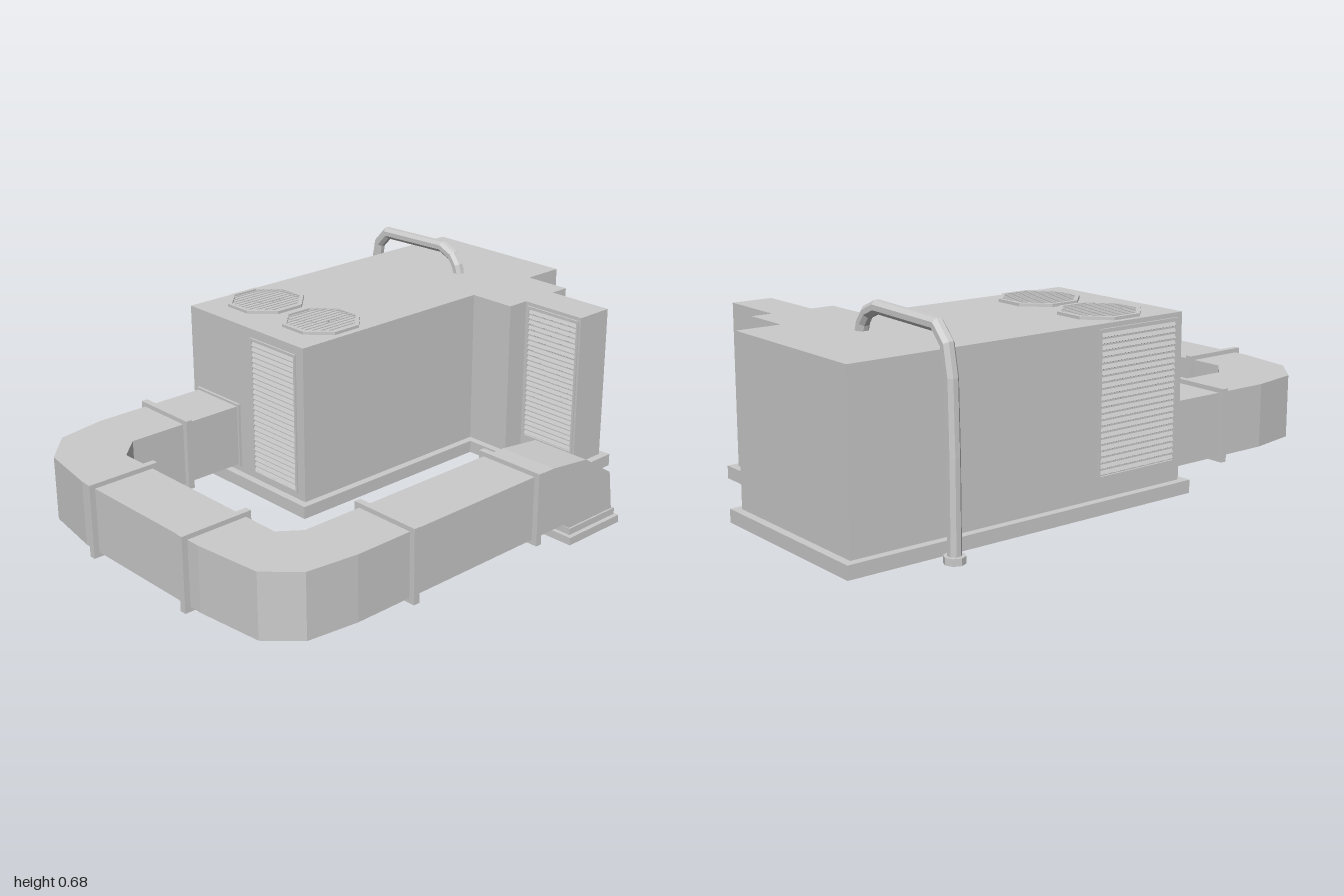
import * as THREE from 'three';

const grey = new THREE.MeshStandardMaterial({ color: 0xcccccc, flatShading: true, side: THREE.DoubleSide });

function add(parent, name, geometry, x = 0, y = 0, z = 0) {
  const mesh = new THREE.Mesh(geometry, grey);
  mesh.name = name;
  mesh.position.set(x, y, z);
  parent.add(mesh);
  return mesh;
}

const box = (w, h, d) => new THREE.BoxGeometry(w, h, d);

// Floor plan given as [x, z], raised from y0 to y1
function raisePlan(points, y0, y1) {
  const shape = new THREE.Shape(points.map(([x, z]) => new THREE.Vector2(x, -z)));
  return new THREE.ExtrudeGeometry(shape, { depth: y1 - y0, bevelEnabled: false })
    .rotateX(-Math.PI / 2).translate(0, y0, 0);
}

// Side profile given as [z, y], stretched from x0 to x1
function extrudeSide(points, x0, x1) {
  const shape = new THREE.Shape(points.map(([z, y]) => new THREE.Vector2(-z, y)));
  return new THREE.ExtrudeGeometry(shape, { depth: x1 - x0, bevelEnabled: false })
    .rotateY(Math.PI / 2).translate(x0, 0, 0);
}

// Stepped outline shared by the plinth and the housing; g is the overhang
function steppedPlan(g) {
  return [
    [-0.61 - g, -0.97 - g], [-0.03 + g, -0.97 - g], [-0.03 + g, -0.82 - g], [0.14 + g, -0.82 - g],
    [0.14 + g, -0.75 - g], [0.383 + g, -0.75 - g], [0.383 + g, -0.61 + g], [0.14 + g, -0.61 + g],
    [0.14 + g, -0.53 + g], [-0.03 + g, -0.53 + g], [-0.03 + g, 0.257 + g], [-0.61 - g, 0.257 + g],
  ];
}

// Framed louvre facing +z, centred on its own origin
function louvre(name, w, h) {
  const group = new THREE.Group();
  group.name = name;
  const t = 0.008, d = 0.008;
  for (const s of [-1, 1]) {
    add(group, 'louvreFrame', box(t, h, d), s * (w - t) / 2, 0, d / 2);
    add(group, 'louvreFrame', box(w, t, d), 0, s * (h - t) / 2, d / 2);
  }
  const count = Math.round(h / 0.019);
  for (let i = 1; i < count; i++) {
    const slat = add(group, 'louvreSlat', box(w - 2 * t, 0.014, 0.002), 0, -h / 2 + (i * h) / count, 0.004);
    slat.rotation.x = -0.5;
  }
  return group;
}

// Octagonal roof fan with guard bars above three blades
function roofFan(x, z) {
  const group = new THREE.Group();
  group.name = 'roofFan';
  group.position.set(x, 0.585, z);
  const octagon = (r) => Array.from({ length: 8 }, (_, i) => {
    const a = (i + 0.5) * Math.PI / 4;
    return new THREE.Vector2(r * Math.cos(a), r * Math.sin(a));
  });
  const rim = new THREE.Shape(octagon(0.136));
  rim.holes.push(new THREE.Path(octagon(0.121)));
  add(group, 'fanRim', new THREE.ExtrudeGeometry(rim, { depth: 0.01, bevelEnabled: false }).rotateX(-Math.PI / 2));
  const apothem = 0.114;
  for (let i = -5; i <= 5; i++) {
    const bx = i * 0.019;
    const half = Math.min(apothem, apothem * Math.SQRT2 - Math.abs(bx));
    add(group, 'guardBar', box(0.005, 0.003, half * 2), bx, 0.008, 0);
  }
  add(group, 'fanHub', new THREE.CylinderGeometry(0.026, 0.026, 0.006, 8), 0, 0.003, 0);
  const blade = new THREE.Shape([[0.015, -0.012], [0.09, -0.03], [0.1, 0.02], [0.015, 0.014]]
    .map(([a, b]) => new THREE.Vector2(a, b)));
  for (let i = 0; i < 3; i++) {
    const mesh = add(group, 'fanBlade',
      new THREE.ExtrudeGeometry(blade, { depth: 0.003, bevelEnabled: false }).rotateX(-Math.PI / 2), 0, 0.002, 0);
    mesh.rotation.y = Math.PI / 2 + i * Math.PI * 2 / 3;
  }
  return group;
}

// Mitred round pipe along [x, y] points
function bentPipe(points, radius, sides) {
  const path = points.map(([x, y]) => new THREE.Vector2(x, y));
  const pos = [], index = [];
  path.forEach((p, i) => {
    const before = p.clone().sub(path[Math.max(i - 1, 0)]).normalize();
    const after = path[Math.min(i + 1, path.length - 1)].clone().sub(p).normalize();
    const dir = before.clone().add(after).normalize();
    const mitre = 1 / Math.max(dir.dot(i ? before : after), 0.5);
    for (let k = 0; k < sides; k++) {
      const a = ((k + 0.5) / sides) * Math.PI * 2;
      const n = Math.cos(a) * radius * mitre;
      pos.push(p.x - dir.y * n, p.y + dir.x * n, Math.sin(a) * radius);
      if (i) {
        const q = (i - 1) * sides, k2 = (k + 1) % sides;
        index.push(q + k, q + k2, q + sides + k, q + k2, q + sides + k2, q + sides + k);
      }
    }
  });
  const geometry = new THREE.BufferGeometry();
  geometry.setAttribute('position', new THREE.Float32BufferAttribute(pos, 3));
  geometry.setIndex(index);
  geometry.computeVertexNormals();
  return geometry;
}

export function createModel() {
  const model = new THREE.Group();
  model.name = 'airHandlingUnit';

  // Plinth and stepped housing
  add(model, 'plinth', raisePlan(steppedPlan(0.026), 0.005, 0.048));
  add(model, 'housing', raisePlan(steppedPlan(0), 0.048, 0.585));

  // Louvres on the front, the stepped bay and the right side
  const front = louvre('frontLouvre', 0.225, 0.485);
  front.position.set(-0.177, 0.312, 0.255);
  const bay = louvre('bayLouvre', 0.225, 0.485);
  bay.position.set(0.263, 0.33, -0.612);
  const side = louvre('sideLouvre', 0.32, 0.46);
  side.position.set(-0.608, 0.34, 0.075);
  side.rotation.y = -Math.PI / 2;
  model.add(front, bay, side);

  // Roof fans
  model.add(roofFan(-0.465, 0.045), roofFan(-0.18, 0.045));

  // U-shaped duct
  const duct = new THREE.Group();
  duct.name = 'duct';
  model.add(duct);
  add(duct, 'ductRun', raisePlan([
    [-0.575, 0.25], [-0.575, 0.67], [-0.543, 0.84], [-0.43, 0.943], [-0.22, 0.978], [0.35, 0.978],
    [0.578, 0.955], [0.67, 0.86], [0.692, 0.69], [0.692, -0.13], [0.482, -0.13], [0.482, 0.7],
    [0.43, 0.768], [-0.29, 0.768], [-0.365, 0.69], [-0.365, 0.25],
  ], 0.077, 0.29));

  // Elbow down to the floor with its stepped foot
  add(duct, 'ductElbow', extrudeSide([
    [-0.13, 0.29], [-0.285, 0.272], [-0.41, 0.19], [-0.432, 0.03], [-0.222, 0.03],
    [-0.218, 0.056], [-0.185, 0.077], [-0.13, 0.077],
  ], 0.482, 0.692));
  add(duct, 'footCollar', box(0.222, 0.022, 0.222), 0.587, 0.045, -0.326);
  add(duct, 'footFlange', box(0.245, 0.026, 0.242), 0.587, 0.018, -0.326);

  // Collars at the duct joints
  const y = 0.183, h = 0.244, w = 0.248, t = 0.022;
  for (const [x, z] of [[-0.47, 0.48], [0.587, 0.48], [0.587, -0.05]])
    add(duct, 'ductCollar', box(w, h, t), x, y, z);
  for (const x of [-0.162, 0.292]) add(duct, 'ductCollar', box(t, h, w), x, y, 0.873);
  add(duct, 'wallCollar', box(0.226, 0.23, 0.012), -0.47, y, 0.26);

  // Roof pipe bending down to the ground
  add(model, 'pipe', bentPipe([
    [-0.688, 0.01], [-0.685, 0.3], [-0.678, 0.52], [-0.66, 0.61], [-0.615, 0.657],
    [-0.33, 0.665], [-0.28, 0.643], [-0.255, 0.61], [-0.245, 0.575],
  ], 0.021, 8), 0, 0, -0.68);
  add(model, 'pipeFoot', new THREE.CylinderGeometry(0.033, 0.033, 0.022, 8), -0.688, 0.011, -0.68);
  return model;
}
